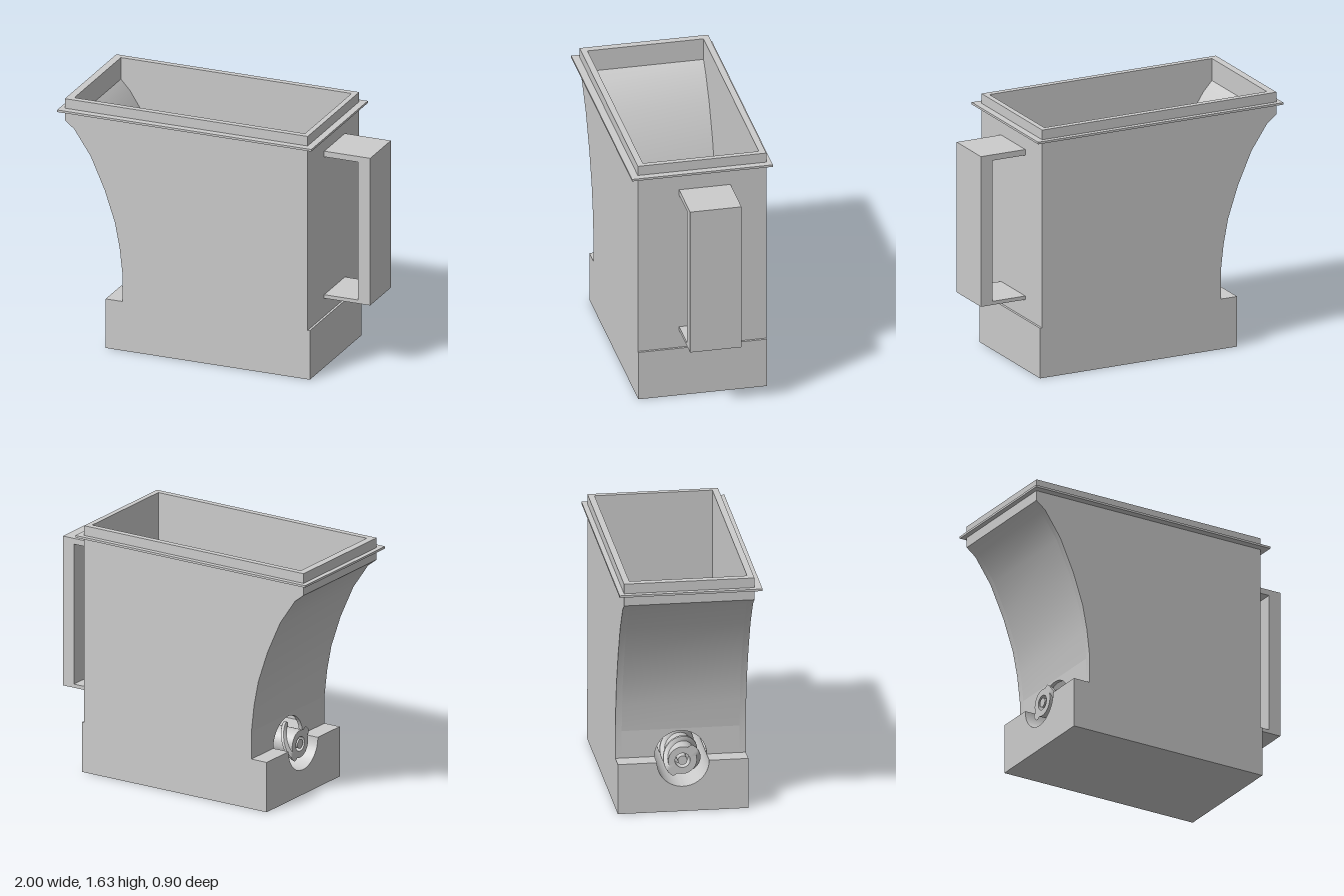
import * as THREE from 'three';
import { toCreasedNormals } from 'three/addons/utils/BufferGeometryUtils.js';

const ZC = -0.0075;            // centre plane of the hopper
const HALF = 0.4125;           // outer half depth
const INNER = 0.3725;          // inner half depth
const BASE_Y = 0.33;           // floor level and screw axis
const TOP_Y = 1.635;
const TROUGH_R = 0.165;

// Concave front, bottom to top: outer and inner skin
const OUTER = [[-0.575, 0.51], [-0.595, 0.688], [-0.627, 0.853], [-0.696, 1.06], [-0.792, 1.275], [-0.904, 1.44], [-0.968, 1.49], [-0.968, TOP_Y]];
const SKIN = [[-0.549, 0.51], [-0.567, 0.69], [-0.6, 0.85], [-0.665, 1.06], [-0.76, 1.27], [-0.86, 1.425], [-0.92, 1.49], [-0.92, TOP_Y]];

const material = new THREE.MeshStandardMaterial({ color: 0xcccccc });

function addMesh(parent, name, geometry) {
  const mesh = new THREE.Mesh(geometry, material);
  mesh.name = name;
  parent.add(mesh);
  return mesh;
}

const polygon = (points) => new THREE.Shape(points.map(([x, y]) => new THREE.Vector2(x, y)));

function extrude(shape, depth) {
  const g = new THREE.ExtrudeGeometry(shape, { depth, bevelEnabled: false, curveSegments: 32 });
  return toCreasedNormals(g, 0.35);
}

// Side profile (x, y) extruded from z0 to z1
const alongZ = (shape, z0, z1) => extrude(shape, z1 - z0).translate(0, 0, z0);

// Cross-section (-z, y) about the centre plane, extruded from x0 to x1
const alongX = (shape, x0, x1) => extrude(shape, x1 - x0).rotateY(Math.PI / 2).translate(x0, 0, ZC);

function box(x0, x1, y0, y1, z0, z1) {
  return new THREE.BoxGeometry(x1 - x0, y1 - y0, z1 - z0)
    .translate((x0 + x1) / 2, (y0 + y1) / 2, (z0 + z1) / 2);
}

// Two-start screw: a bumped cross-section twisted along x, with a blind bore in its front end
function screwGeometry(x0, x1) {
  const pitch = 0.314, core = 0.09, crest = 0.118, bore = 0.048, sides = 64, steps = 110;
  const profile = (phi) => {
    const d = Math.abs(phi - Math.round(phi / Math.PI) * Math.PI);
    return core + (crest - core) * THREE.MathUtils.clamp((0.4 - d) / 0.15, 0, 1);
  };
  const rows = [
    [x0 + 0.08, x0, () => 0], [x0 + 0.08, x0, () => bore], [x0, x0, () => bore],
  ];
  for (let i = 0; i <= steps; i++) {
    const x = x0 + (x1 - x0) * i / steps;
    rows.push([x, x, profile]);
  }
  rows.push([x1, x1, () => 0]);

  const positions = [], index = [];
  rows.forEach(([x, twistX, radius], i) => {
    const twist = -Math.PI / 2 + 2 * Math.PI * (twistX + 0.47) / pitch;
    for (let j = 0; j < sides; j++) {
      const phi = 2 * Math.PI * j / sides, r = radius(phi);
      positions.push(x, r * Math.cos(phi + twist), r * Math.sin(phi + twist));
      if (i < rows.length - 1) {
        const a = i * sides + j, b = i * sides + (j + 1) % sides;
        index.push(a, b, a + sides, b, b + sides, a + sides);
      }
    }
  });
  const g = new THREE.BufferGeometry();
  g.setAttribute('position', new THREE.Float32BufferAttribute(positions, 3));
  g.setIndex(index);
  return toCreasedNormals(g, 0.5);
}

export function createModel() {
  const model = new THREE.Group();
  model.name = 'screwDispenser';

  // Base block with a half-round trough open at the front end
  const base = new THREE.Shape();
  base.moveTo(-HALF, 0);
  base.lineTo(HALF, 0);
  base.lineTo(HALF, BASE_Y);
  base.lineTo(TROUGH_R, BASE_Y);
  base.absarc(0, BASE_Y, TROUGH_R, 0, -Math.PI, true);
  base.lineTo(-HALF, BASE_Y);
  addMesh(model, 'troughBase', alongX(base, -0.69, 0.65));
  addMesh(model, 'baseEnd', box(0.65, 0.7, 0, BASE_Y, ZC - HALF, ZC + HALF));

  // Hopper walls
  const hopper = new THREE.Group();
  hopper.name = 'hopper';
  model.add(hopper);
  const sidePanel = polygon([[0.685, BASE_Y], [0.685, TOP_Y], ...[...OUTER].reverse(), [-0.575, BASE_Y]]);
  addMesh(hopper, 'leftPanel', alongZ(sidePanel, ZC + INNER, ZC + HALF));
  addMesh(hopper, 'rightPanel', alongZ(sidePanel, ZC - HALF, ZC - INNER));
  addMesh(hopper, 'endWall', box(0.65, 0.685, BASE_Y, TOP_Y, ZC - INNER, ZC + INNER));
  const curved = polygon([...OUTER, ...[...SKIN].reverse()]);
  addMesh(hopper, 'curvedWall', alongZ(curved, ZC - INNER, ZC + INNER));

  // Lower part of the curved wall with the arched outlet
  const arch = new THREE.Shape();
  arch.moveTo(-INNER, BASE_Y);
  arch.lineTo(-TROUGH_R, BASE_Y);
  arch.absarc(0, BASE_Y, TROUGH_R, Math.PI, 0, true);
  arch.lineTo(INNER, BASE_Y);
  arch.lineTo(INNER, 0.51);
  arch.lineTo(-INNER, 0.51);
  addMesh(hopper, 'outletArch', alongX(arch, -0.575, -0.549));

  // Thin flange around the rim
  const flange = new THREE.Group();
  flange.name = 'rimFlange';
  model.add(flange);
  const y0 = 1.557, y1 = 1.571, edge = 0.452;
  addMesh(flange, 'flangeFrontEdge', box(-1, -0.968, y0, y1, -edge, edge));
  addMesh(flange, 'flangeBackEdge', box(0.685, 0.73, y0, y1, -edge, edge));
  addMesh(flange, 'flangeLeftEdge', box(-0.968, 0.685, y0, y1, ZC + HALF, edge));
  addMesh(flange, 'flangeRightEdge', box(-0.968, 0.685, y0, y1, -edge, ZC - HALF));

  // Square handle
  const handle = polygon([[0.685, 0.45], [0.998, 0.45], [0.998, 1.44], [0.685, 1.44],
    [0.685, 1.402], [0.915, 1.402], [0.915, 0.474], [0.685, 0.474]]);
  addMesh(model, 'handle', alongZ(handle, -0.19, 0.14));

  // Feed screw and the pin inside its bore
  addMesh(model, 'feedScrew', screwGeometry(-0.667, 0.615)).position.set(0, BASE_Y, ZC);
  const pin = new THREE.CylinderGeometry(0.03, 0.03, 0.08, 24).rotateZ(Math.PI / 2);
  addMesh(model, 'screwPin', pin).position.set(-0.627, BASE_Y, ZC);

  return model;
}
